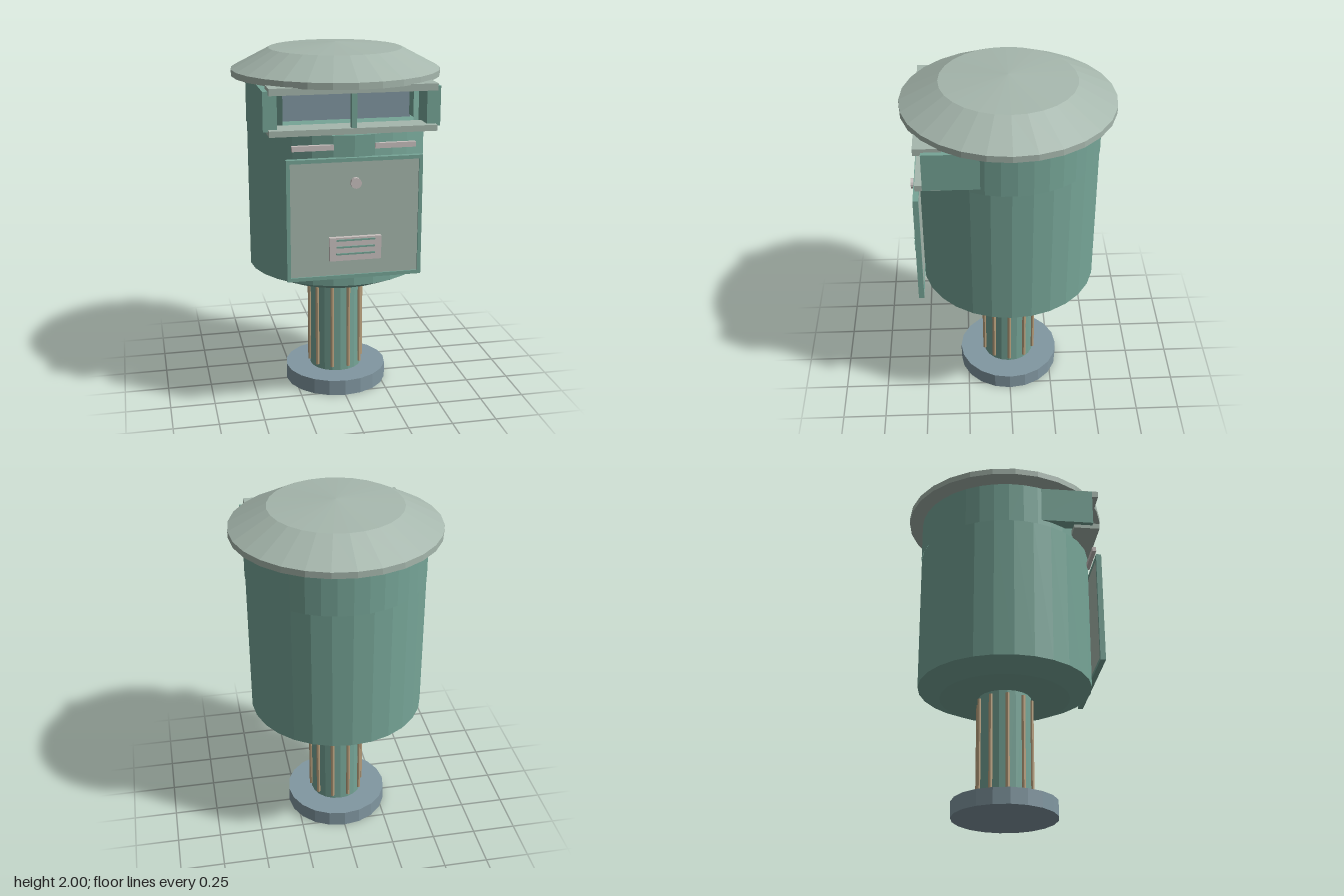
import * as THREE from 'three';

const mat = (name, color, extra = {}) =>
  Object.assign(new THREE.MeshStandardMaterial({ color, flatShading: true, ...extra }), { name });

export function createModel() {
  const green = mat('body green', 0x76a597, { side: THREE.DoubleSide });
  const pale = mat('pale sage', 0xa6b7ad);
  const slate = mat('slate blue', 0x8197a1);
  const tan = mat('tan rib', 0xb89f7c);
  const silver = mat('warm silver', 0xc9c1bf);

  const group = new THREE.Group();
  const add = (name, geometry, material, x = 0, y = 0, z = 0) => {
    const mesh = new THREE.Mesh(geometry, material);
    mesh.name = name;
    mesh.position.set(x, y, z);
    group.add(mesh);
    return mesh;
  };
  // box given by its limits on each axis
  const box = (name, material, [x0, x1], [y0, y1], [z0, z1]) =>
    add(name, new THREE.BoxGeometry(x1 - x0, y1 - y0, z1 - z0), material,
      (x0 + x1) / 2, (y0 + y1) / 2, (z0 + z1) / 2);
  const lathe = (name, material, points, sides) =>
    add(name, new THREE.LatheGeometry(points.map(([r, y]) => new THREE.Vector2(r, y)), sides), material);

  // foot and ribbed column
  add('foot', new THREE.CylinderGeometry(0.295, 0.295, 0.09, 20), slate, 0, 0.045);
  add('column', new THREE.CylinderGeometry(0.15, 0.15, 0.62, 20), green, 0, 0.39);
  for (let i = 0; i < 10; i++) {
    const a = (i / 10) * Math.PI * 2;
    add('columnRib', new THREE.CylinderGeometry(0.011, 0.011, 0.555, 8), tan,
      Math.cos(a) * 0.154, 0.393, Math.sin(a) * 0.154);
  }

  // drum with chamfered bottom and closed top
  lathe('drum', green, [[0, 0.69], [0.37, 0.69], [0.495, 0.748], [0.498, 1.575], [0, 1.575]], 28);

  // upper wall, open at the front, with a back panel inside
  add('upperWall', new THREE.CylinderGeometry(0.5, 0.5, 0.24, 28, 1, true, Math.PI / 4, Math.PI * 1.5),
    green, 0, 1.69);
  box('slotBackPanel', slate, [-0.42, 0.42], [1.575, 1.81], [0.04, 0.06]);

  // slot surround
  for (const s of [-1, 1]) {
    add('slotCheek', new THREE.BoxGeometry(0.074, 0.21, 0.34), green, s * 0.435, 1.705, 0.285);
    box('handleBar', silver, s < 0 ? [-0.33, -0.11] : [0.11, 0.33], [1.5, 1.528], [0.472, 0.495]);
  }
  box('slotSill', pale, [-0.445, 0.445], [1.58, 1.612], [0.35, 0.495]);
  box('slotLintel', pale, [-0.445, 0.445], [1.793, 1.83], [0.35, 0.495]);
  box('slotDivider', green, [-0.014, 0.014], [1.61, 1.795], [0.455, 0.49]);

  // roof
  lathe('roof', pale, [[0, 1.825], [0.58, 1.825], [0.58, 1.86], [0.37, 1.97], [0, 2]], 28);

  // door panel and its raised frame
  box('doorPanel', pale, [-0.35, 0.35], [0.815, 1.445], [0.488, 0.507]);
  for (const s of [-1, 1]) {
    add('doorFrameSide', new THREE.BoxGeometry(0.02, 0.66, 0.03), green, s * 0.355, 1.13, 0.5);
    add('doorFrameRail', new THREE.BoxGeometry(0.69, 0.02, 0.03), green, 0, 1.13 + s * 0.32, 0.5);
  }

  // knob and vented plate
  add('knob', new THREE.CylinderGeometry(0.029, 0.029, 0.022, 14), silver, 0, 1.33, 0.532).rotation.x = Math.PI / 2;
  box('ventPlate', silver, [-0.14, 0.14], [0.907, 1.035], [0.505, 0.532]);
  for (const y of [0.945, 0.983, 1.021])
    add('ventSlat', new THREE.BoxGeometry(0.21, 0.009, 0.008), green, 0, y, 0.534);

  return group;
}
